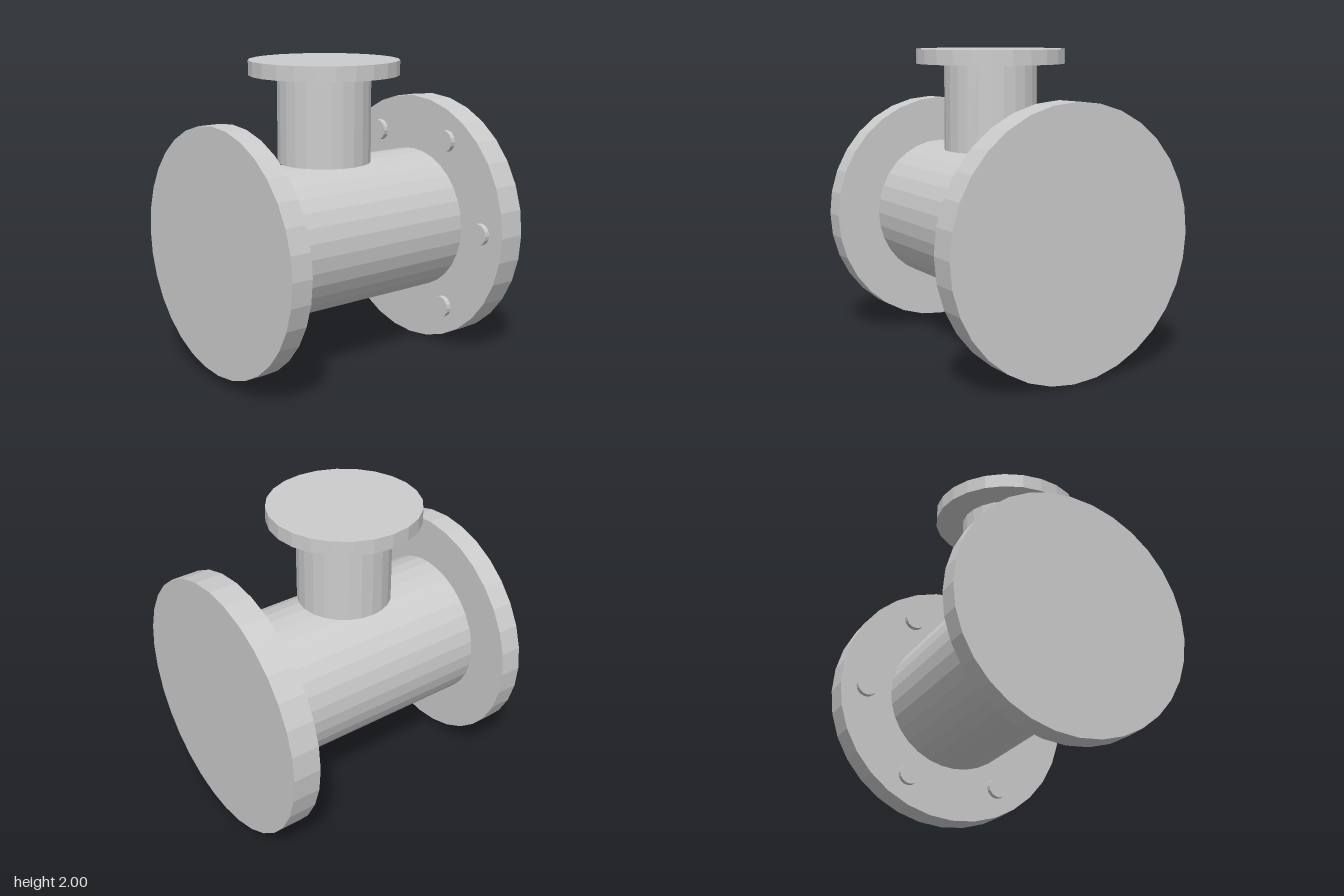
import * as THREE from 'three';

export function createModel() {
  const group = new THREE.Group();
  const material = new THREE.MeshStandardMaterial({ color: 0xcccccc, flatShading: true });
  const axisY = 0.855; // height of the main pipe's axis
  const branchZ = 0.06;

  // Cylinder lying along z between two depths
  function alongZ(name, radius, z0, z1, sides, x = 0, y = axisY) {
    const geometry = new THREE.CylinderGeometry(radius, radius, z1 - z0, sides);
    geometry.rotateX(Math.PI / 2);
    const mesh = new THREE.Mesh(geometry, material);
    mesh.name = name;
    mesh.position.set(x, y, (z0 + z1) / 2);
    group.add(mesh);
  }

  // Upright cylinder on the branch axis between two heights
  function upright(name, radius, y0, y1, sides) {
    const mesh = new THREE.Mesh(new THREE.CylinderGeometry(radius, radius, y1 - y0, sides), material);
    mesh.name = name;
    mesh.position.set(0, (y0 + y1) / 2, branchZ);
    group.add(mesh);
  }

  // Main pipe with its end flanges
  alongZ('mainPipe', 0.487, -0.74, 0.78, 32);
  alongZ('frontFlange', 0.792, 0.77, 0.915, 32);
  alongZ('backFlange', 0.855, -0.915, -0.73, 32);

  // Branch pipe resting on the crown of the main pipe
  upright('branchPipe', 0.304, 1.341, 1.91, 24);
  upright('branchFlange', 0.487, 1.905, 2, 24);

  // Ring of bolts on the inner face of the back flange
  for (let i = 0; i < 6; i++) {
    const a = (i * Math.PI) / 3;
    alongZ('bolt' + (i + 1), 0.073, -0.74, -0.694, 16, 0.67 * Math.cos(a), axisY + 0.67 * Math.sin(a));
  }

  return group;
}
